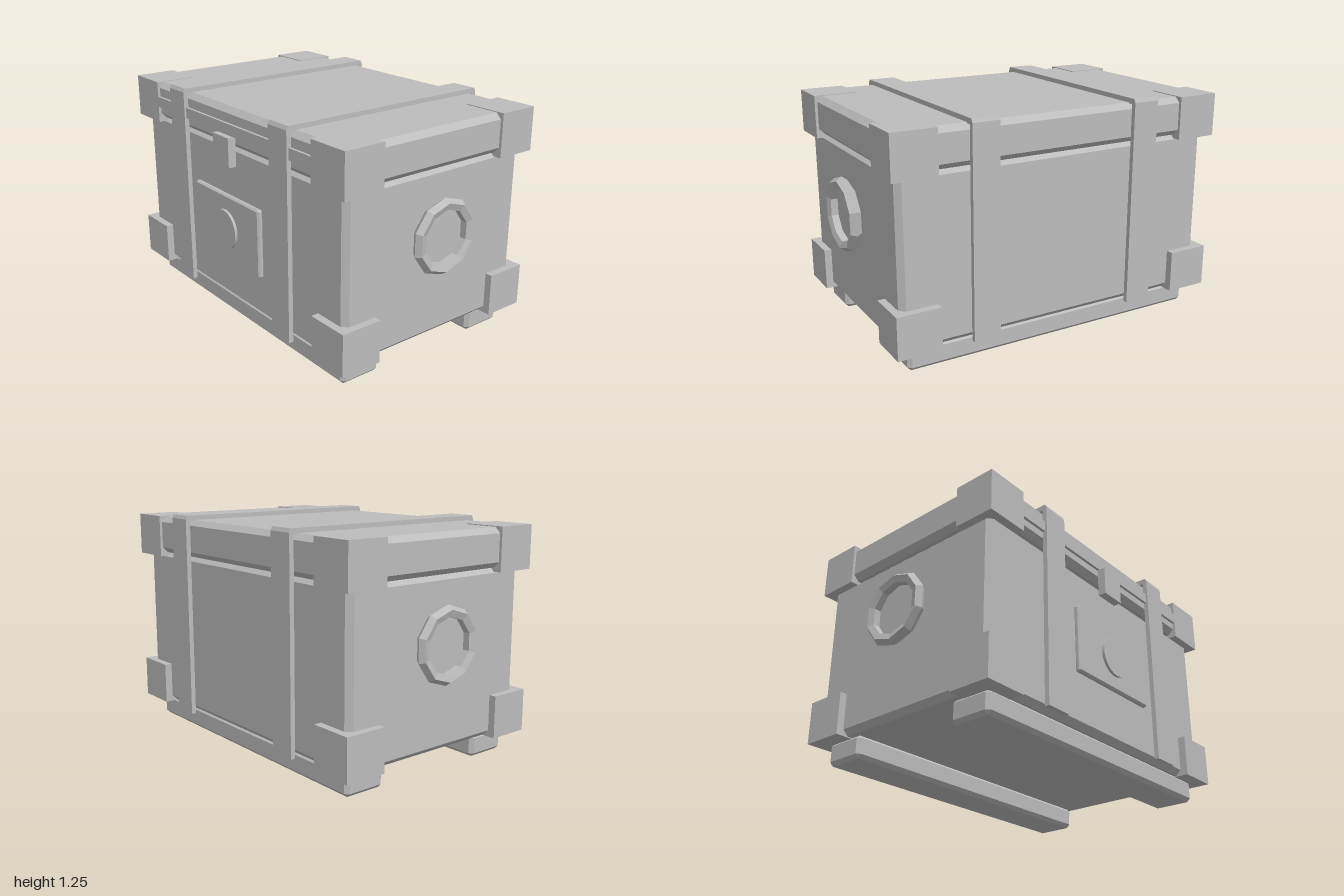
import * as THREE from 'three';
import { ConvexGeometry } from 'three/addons/geometries/ConvexGeometry.js';

const grey = new THREE.MeshStandardMaterial({ color: 0xbcbcbc });
grey.name = 'plain grey';

// Box between two corners with every edge chamfered by b
function chamferBox([x0, y0, z0], [x1, y1, z1], b) {
  const c = [(x0 + x1) / 2, (y0 + y1) / 2, (z0 + z1) / 2];
  const h = [(x1 - x0) / 2, (y1 - y0) / 2, (z1 - z0) / 2];
  const points = [];
  for (const sx of [-1, 1]) for (const sy of [-1, 1]) for (const sz of [-1, 1]) {
    for (let full = 0; full < 3; full++) {
      const p = [sx, sy, sz].map((s, i) => c[i] + s * (h[i] - (i === full ? 0 : b)));
      points.push(new THREE.Vector3(...p));
    }
  }
  return new ConvexGeometry(points);
}

// Plain box between two corners
function box([x0, y0, z0], [x1, y1, z1]) {
  return new THREE.BoxGeometry(x1 - x0, y1 - y0, z1 - z0)
    .translate((x0 + x1) / 2, (y0 + y1) / 2, (z0 + z1) / 2);
}

export function createModel() {
  const model = new THREE.Group();
  model.name = 'chest';
  // The chest sits slightly back so that the front fittings balance it
  const chest = new THREE.Group();
  chest.name = 'chestParts';
  chest.position.z = -0.01;
  model.add(chest);

  const add = (name, geometry) => {
    const mesh = new THREE.Mesh(geometry, grey);
    mesh.name = name;
    chest.add(mesh);
    return mesh;
  };

  // Main case and lid
  add('body', chamferBox([-0.92, 0.12, -0.585], [0.92, 1.025, 0.585], 0.03));
  add('lid', chamferBox([-0.945, 1.022, -0.612], [0.945, 1.23, 0.612], 0.03));
  add('lidTrim', box([-0.73, 1.09, 0.58], [0.73, 1.15, 0.627]));

  // Runners under the case
  for (const s of [-1, 1]) {
    const z = s * 0.437;
    add('runner', chamferBox([-0.875, 0, z - 0.118], [0.875, 0.125, z + 0.118], 0.02));
  }

  // Corner guards, four on the case and four on the lid
  for (const [name, y0, y1] of [['lowerCorner', 0.115, 0.345], ['lidCorner', 1.0, 1.234]]) {
    for (const sx of [-1, 1]) for (const sz of [-1, 1]) {
      add(name, new THREE.BoxGeometry(0.24, y1 - y0, 0.233))
        .position.set(sx * 0.84, (y0 + y1) / 2, sz * 0.5105);
    }
  }

  // Straps arch over the lid and hang just clear of the case
  const strap = new THREE.Shape([
    [-0.638, 0.12], [-0.612, 0.12], [-0.612, 1.225], [0.612, 1.225], [0.612, 0.12],
    [0.638, 0.12], [0.638, 1.235], [0.628, 1.255], [-0.628, 1.255], [-0.638, 1.235],
  ].map(([z, y]) => new THREE.Vector2(z, y)));
  for (const x of [-0.475, 0.475]) {
    const geometry = new THREE.ExtrudeGeometry(strap, { depth: 0.15, bevelEnabled: false });
    geometry.translate(0, 0, -0.075).rotateY(Math.PI / 2);
    add('strap', geometry).position.x = x;
  }

  // Ten-sided ring handles on both ends
  for (const s of [-1, 1]) {
    const geometry = new THREE.TorusGeometry(0.1715, 0.032, 5, 10).toNonIndexed();
    geometry.rotateZ(Math.PI / 2).rotateY(Math.PI / 2);
    geometry.computeVertexNormals();
    add('ringHandle', geometry).position.set(s * 0.97, 0.68, 0);
  }

  // Front plate with its round boss, and the latch
  add('frontPlate', chamferBox([-0.305, 0.385, 0.612], [0.305, 0.762, 0.645], 0.009));
  const boss = new THREE.CylinderGeometry(0.11, 0.11, 0.04, 24).rotateX(Math.PI / 2);
  add('frontBoss', boss).position.set(0, 0.57, 0.64);
  add('latch', box([-0.073, 0.93, 0.615], [0.073, 1.09, 0.66]));

  return model;
}
